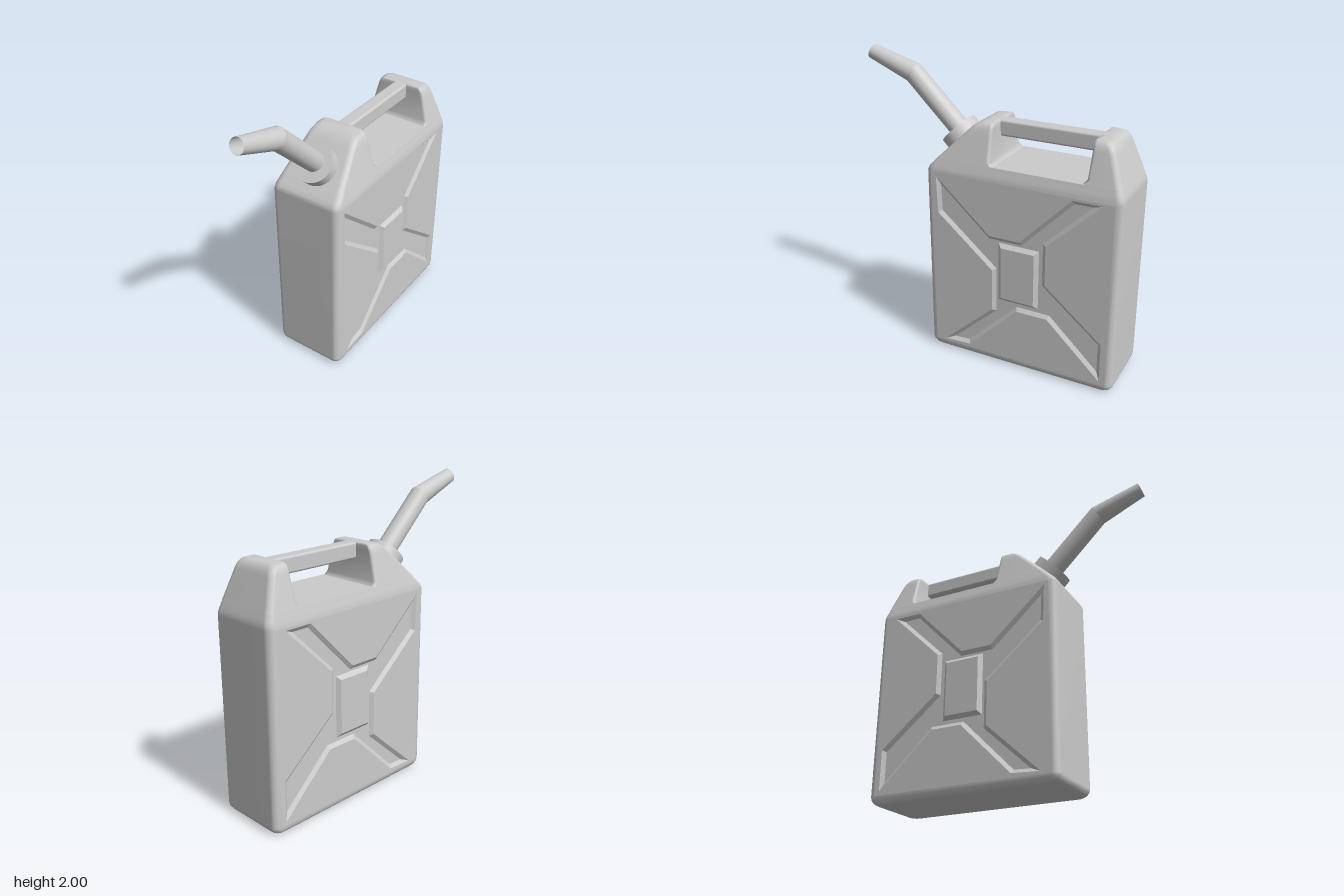
import * as THREE from 'three';
import { RoundedBoxGeometry } from 'three/addons/geometries/RoundedBoxGeometry.js';

const grey = new THREE.MeshStandardMaterial({ color: 0xcccccc });
const greyThin = new THREE.MeshStandardMaterial({ color: 0xcccccc, side: THREE.DoubleSide });

// Skins a stack of equal-length rings (clockwise seen from the last ring's side).
function loft(rings, { bottom = false, top = false, flat = false, skip = () => false } = {}) {
  const n = rings[0].length, pos = [], idx = [];
  rings.forEach(r => r.forEach(p => pos.push(p.x, p.y, p.z)));
  for (let b = 0; b < rings.length - 1; b++) {
    for (let i = 0; i < n; i++) {
      if (skip(b, i)) continue;
      const a = b * n + i, c = b * n + (i + 1) % n;
      idx.push(a, a + n, c, c, a + n, c + n);
    }
  }
  const cap = (r, isTop) => {
    const m = new THREE.Vector3();
    rings[r].forEach(p => m.addScaledVector(p, 1 / n));
    const centre = pos.push(m.x, m.y, m.z) / 3 - 1;
    for (let i = 0; i < n; i++) {
      const a = r * n + i, c = r * n + (i + 1) % n;
      idx.push(centre, ...(isTop ? [c, a] : [a, c]));
    }
  };
  if (bottom) cap(0, false);
  if (top) cap(rings.length - 1, true);
  let g = new THREE.BufferGeometry();
  g.setAttribute('position', new THREE.Float32BufferAttribute(pos, 3));
  g.setIndex(idx);
  if (flat) g = g.toNonIndexed();
  g.computeVertexNormals();
  return g;
}

// Horizontal rounded rectangle with its own corner radius at the rear and front.
const SEG = 4;
function rectRing(y, hx, z0, z1, r0 = 0.045, r1 = 0.045) {
  const pts = [];
  [[1, 1], [-1, 1], [-1, -1], [1, -1]].forEach(([sx, sz], k) => {
    const r = sz > 0 ? r1 : r0, cz = sz > 0 ? z1 - r : z0 + r;
    for (let i = 0; i <= SEG; i++) {
      const a = (k + i / SEG) * Math.PI / 2;
      pts.push(new THREE.Vector3(sx * (hx - r) + Math.cos(a) * r, y, cz + Math.sin(a) * r));
    }
  });
  return pts;
}

// Moves a clockwise outline inward by w with mitred corners.
function inset(pts, w) {
  return pts.map((p, i) => {
    const normal = (a, b) => {
      const d = b.clone().sub(a).normalize();
      return new THREE.Vector2(d.y, -d.x);
    };
    const n1 = normal(pts[(i + pts.length - 1) % pts.length], p);
    const n2 = normal(p, pts[(i + 1) % pts.length]);
    return p.clone().addScaledVector(n1.clone().add(n2), w / (1 + n1.dot(n2)));
  });
}

const HX = 0.247, ZR = -0.93, ZF = 0.385, R = 0.045, Y0 = 0.055, Y1 = 1.295, FLOOR = 1.385;

// Shoulder sections: y, half width, rear z, front z
const shoulder = [[1.325, 0.243, -0.926, 0.371], [1.35, 0.236, -0.918, 0.349], [FLOOR, 0.227, -0.906, 0.315]];
const upper = [[FLOOR, 0.227, -0.906, 0.315], [1.41, 0.22, -0.897, 0.29], [1.57, 0.178, -0.842, 0.13],
  [1.6, 0.169, -0.83, 0.1], [1.625, 0.156, -0.81, 0.065], [1.635, 0.135, -0.785, 0.03]];

// X-shaped recess on each side, as (z, y)
const cross = [[0.31, 1.27], [-0.07, 0.93], [-0.28, 0.93], [-0.62, 1.28], [-0.81, 1.28], [-0.46, 0.94],
  [-0.46, 0.67], [-0.85, 0.35], [-0.85, 0.08], [-0.48, 0.43], [-0.27, 0.43], [0.08, 0.08],
  [0.27, 0.07], [-0.09, 0.4], [-0.09, 0.69], [0.3, 1.02]];
const plate = [[-0.13, 0.48], [-0.13, 0.89], [-0.41, 0.89], [-0.41, 0.48]];

export function createModel() {
  const model = new THREE.Group();
  model.name = 'jerrycan';
  const add = (name, geometry, material = grey, parent = model) => {
    const m = new THREE.Mesh(geometry, material);
    m.name = name;
    parent.add(m);
    return m;
  };

  // Body shell with rounded bottom; flat sides stay open for the pressed panels
  const rings = [];
  for (let i = 0; i <= SEG; i++) {
    const a = i / SEG * Math.PI / 2, d = Y0 * (1 - Math.sin(a));
    rings.push(rectRing(Y0 * (1 - Math.cos(a)), HX - d * 0.75, ZR + d, ZF - d));
  }
  rings.push(rectRing(Y1, HX, ZR, ZF));
  shoulder.forEach(s => rings.push(rectRing(...s)));
  const sideEdges = [2 * SEG + 1, 4 * SEG + 3];
  add('body', loft(rings, { bottom: true, skip: (b, i) => b === SEG && sideEdges.includes(i) }));
  add('handleWellFloor', loft([rings[rings.length - 1]], { top: true }));

  // Pressed side panels
  for (const s of [1, -1]) {
    const side = new THREE.Group();
    side.name = s > 0 ? 'leftPanel' : 'rightPanel';
    side.position.x = s * HX;
    side.rotation.y = s * Math.PI / 2;
    model.add(side);
    const outline = list => {
      const pts = list.map(([z, y]) => new THREE.Vector2(-s * z, y));
      return THREE.ShapeUtils.isClockWise(pts) ? pts : pts.reverse();
    };
    const at = (pts, depth) => pts.map(p => new THREE.Vector3(p.x, p.y, depth));
    const outer = outline(cross), inner = inset(outer, 0.025);
    const face = new THREE.Shape(outline([[ZR + R, Y0], [ZF - R, Y0], [ZF - R, Y1], [ZR + R, Y1]]));
    face.holes.push(new THREE.Path(outer));
    add('panelFace', new THREE.ShapeGeometry(face), grey, side);
    add('recessWall', loft([at(outer, 0), at(inner, -0.018)], { flat: true }), grey, side);
    add('recessFloor', new THREE.ShapeGeometry(new THREE.Shape(inner)), grey, side).position.z = -0.018;
    const rim = outline(plate);
    add('centrePlate', loft([at(rim, -0.018), at(inset(rim, 0.025), 0.005)], { top: true, flat: true }), grey, side);
  }

  // Pillars at both ends of the handle, filleted where they meet the well floor
  const fillet = [0.03, 0.006, 0, 0, 0, -0.006];
  add('frontPillar', loft(upper.map(([y, hx, , zf], i) =>
    rectRing(y, hx, -0.05 - fillet[i], zf, 0.02, 0.04)), { top: true }));
  add('rearPillar', loft(upper.map(([y, hx, zr], i) =>
    rectRing(y, hx, zr, -0.7 + fillet[i], 0.04, 0.02)), { top: true }));

  // Handle bar
  const bar = add('handle', new RoundedBoxGeometry(0.094, 0.105, 0.75, 3, 0.015));
  bar.position.set(0, 1.5825, -0.375);

  // Collar on the sloping shoulder
  const collar = add('spoutCollar', new THREE.CylinderGeometry(0.128, 0.128, 0.085, 40));
  collar.position.set(0, 1.491, 0.249);
  collar.rotation.x = Math.PI / 4;

  // Bent, tapering open spout: two straight runs with a mitred joint
  const spoutRing = (y, z, elevation, rx, ry = rx) => Array.from({ length: 32 }, (_, i) => {
    const a = i / 32 * Math.PI * 2;
    return new THREE.Vector3(Math.cos(a) * rx, 0, Math.sin(a) * ry)
      .applyAxisAngle(new THREE.Vector3(1, 0, 0), Math.PI / 2 - elevation)
      .add(new THREE.Vector3(0, y, z));
  });
  const bend = spoutRing(1.848, 0.605, 0.548, 0.067, 0.0687);
  add('spoutLower', loft([spoutRing(1.505, 0.25, 0.768, 0.067), bend]), greyThin);
  add('spoutTip', loft([bend, spoutRing(1.955, 0.915, 0.327, 0.049)]), greyThin);

  return model;
}
